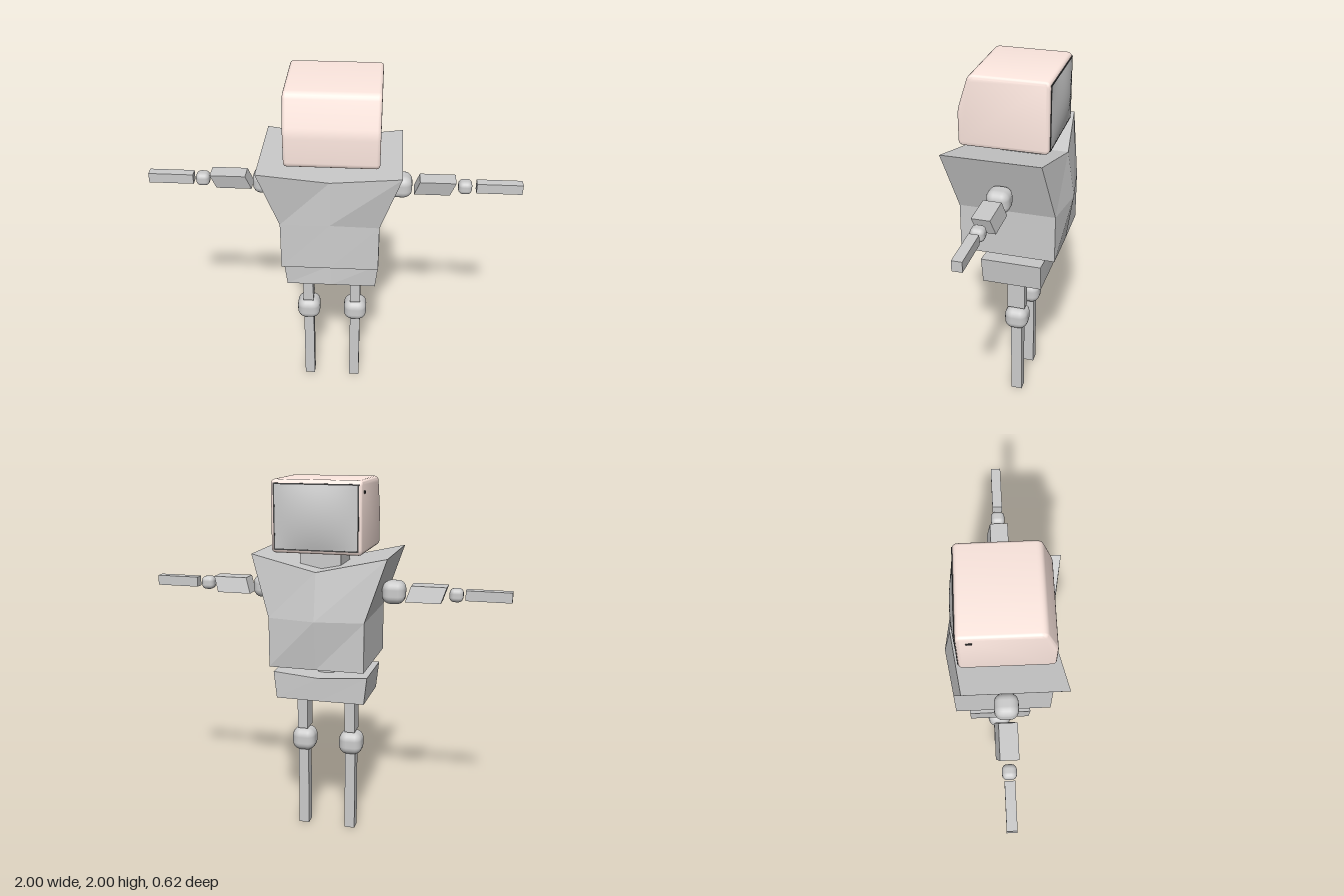
import * as THREE from 'three';
import { toCreasedNormals } from 'three/addons/utils/BufferGeometryUtils.js';
import { RoundedBoxGeometry } from 'three/addons/geometries/RoundedBoxGeometry.js';

const grey = new THREE.MeshStandardMaterial({ color: 0xcccccc });
const greyFlat = new THREE.MeshStandardMaterial({ color: 0xcccccc, flatShading: true });
const casing = new THREE.MeshStandardMaterial({ color: 0xffe9e1 });
const dark = new THREE.MeshStandardMaterial({ color: 0x444444 });

function add(parent, name, geometry, material, x = 0, y = 0, z = 0) {
  const mesh = new THREE.Mesh(geometry, material);
  mesh.name = name;
  mesh.position.set(x, y, z);
  parent.add(mesh);
  return mesh;
}

// Six-point rings, each with a corner and a centre point on front and back
function ring(halfX, yCorner, yCentre, zFront, zFrontMid, zBack, zBackMid) {
  return [
    [halfX, yCorner, zFront], [0, yCentre, zFrontMid], [-halfX, yCorner, zFront],
    [-halfX, yCorner, zBack], [0, yCentre, zBackMid], [halfX, yCorner, zBack],
  ];
}

// Skin stacked rings from bottom to top, with folded caps
function loft(rings) {
  const index = [];
  const quad = (a, b, c, d) => index.push(a, b, c, a, c, d);
  for (let r = 0; r < rings.length - 1; r++) {
    for (let j = 0; j < 6; j++) {
      const k = (j + 1) % 6, a = r * 6, b = a + 6;
      quad(a + k, a + j, b + j, b + k);
    }
  }
  const t = (rings.length - 1) * 6;
  quad(0, 1, 4, 5);
  quad(1, 2, 3, 4);
  quad(t + 5, t + 4, t + 1, t);
  quad(t + 4, t + 3, t + 2, t + 1);
  const g = new THREE.BufferGeometry();
  g.setAttribute('position', new THREE.Float32BufferAttribute(rings.flat(2), 3));
  g.setIndex(index);
  g.computeVertexNormals();
  return g;
}

// Softly rounded cube used for every joint
const joint = (size) => new RoundedBoxGeometry(size, size, size, 3, size * 0.36);

function roundedProfile(points, radius) {
  const shape = new THREE.Shape();
  const p = points.map(([x, y]) => new THREE.Vector2(x, y));
  p.forEach((c, i) => {
    const prev = p[(i + p.length - 1) % p.length], next = p[(i + 1) % p.length];
    const a = c.clone().add(prev.clone().sub(c).setLength(radius));
    const b = c.clone().add(next.clone().sub(c).setLength(radius));
    if (i === 0) shape.moveTo(a.x, a.y); else shape.lineTo(a.x, a.y);
    shape.quadraticCurveTo(c.x, c.y, b.x, b.y);
  });
  shape.closePath();
  return shape;
}

function createHead() {
  const head = new THREE.Group();
  head.name = 'head';

  // Casing: side profile swept across x
  const profile = roundedProfile(
    [[-0.228, 1.62], [0.25, 1.62], [0.25, 1.81], [0.19, 2.0], [-0.228, 2.0]], 0.03);
  const bevel = 0.018;
  const shell = new THREE.ExtrudeGeometry(profile, {
    depth: 0.485 - 2 * bevel, bevelThickness: bevel, bevelSize: bevel,
    bevelOffset: -bevel, bevelSegments: 4, curveSegments: 5,
  });
  shell.translate(0, 0, -0.2425 + bevel);
  shell.rotateY(-Math.PI / 2);
  add(head, 'headCasing', toCreasedNormals(shell, 0.6), casing);

  // Thin bezel around the screen
  const rect = (Type, w, h) => {
    const s = new Type();
    s.moveTo(-w, -h); s.lineTo(w, -h); s.lineTo(w, h); s.lineTo(-w, h); s.closePath();
    return s;
  };
  const frame = rect(THREE.Shape, 0.227, 0.172);
  frame.holes.push(rect(THREE.Path, 0.22, 0.165));
  add(head, 'screenBezel', new THREE.ExtrudeGeometry(frame, { depth: 0.006, bevelEnabled: false }),
    dark, 0, 1.81, -0.231);

  // Domed screen facing backwards
  const screen = new THREE.PlaneGeometry(0.444, 0.334, 16, 16);
  const pos = screen.attributes.position;
  for (let i = 0; i < pos.count; i++) {
    const u = pos.getX(i) / 0.222, v = pos.getY(i) / 0.167;
    pos.setZ(i, 0.025 * (1 - u * u) * (1 - v * v));
  }
  screen.computeVertexNormals();
  screen.rotateY(Math.PI);
  add(head, 'screen', screen, grey, 0, 1.81, -0.23);

  // Small slot on the side
  add(head, 'sideSlot', new THREE.BoxGeometry(0.006, 0.015, 0.03), dark, -0.243, 1.94, -0.165);
  head.position.x = 0.002;
  return head;
}

function createArm(side) {
  const arm = new THREE.Group();
  arm.name = side > 0 ? 'leftArm' : 'rightArm';
  add(arm, 'shoulder', joint(0.125), grey, side * 0.364 - 0.009, 1.4, 0);

  // Upper arm: box sheared outwards and forwards at the top
  const upper = new THREE.BoxGeometry(0.19, 0.085, 0.095);
  const pos = upper.attributes.position;
  for (let i = 0; i < pos.count; i++) {
    const up = Math.sign(pos.getY(i));
    pos.setX(i, pos.getX(i) + side * 0.014 * up);
    pos.setZ(i, pos.getZ(i) + 0.01 * up);
  }
  upper.computeVertexNormals();
  add(arm, 'upperArm', upper, greyFlat, side * 0.545 - 0.007, 1.402, -0.006);

  add(arm, 'elbow', joint(0.073), grey, side * 0.703 - 0.005, 1.4, 0);
  add(arm, 'forearm', new THREE.BoxGeometry(0.242, 0.055, 0.052), greyFlat, side * 0.879, 1.403, 0);
  return arm;
}

function createLeg(side) {
  const leg = new THREE.Group();
  leg.name = side > 0 ? 'leftLeg' : 'rightLeg';
  leg.position.set(side * 0.137 - 0.013, 0, -0.03);
  add(leg, 'thigh', new THREE.BoxGeometry(0.058, 0.215, 0.1), greyFlat, 0, 0.705, 0);
  add(leg, 'knee', joint(0.132), grey, 0, 0.525, 0);
  add(leg, 'shin', new THREE.BoxGeometry(0.058, 0.462, 0.064), greyFlat, 0, 0.231, -0.002);
  return leg;
}

export function createModel() {
  const model = new THREE.Group();
  model.name = 'robot';
  model.add(createHead());

  add(model, 'neck', new THREE.BoxGeometry(0.222, 0.14, 0.205), greyFlat, -0.002, 1.555, -0.048);

  // Torso flares to raised shoulders
  add(model, 'torso', loft([
    ring(0.26, 1.01, 1.01, 0.25, 0.25, -0.27, -0.272),
    ring(0.26, 1.28, 1.28, 0.25, 0.245, -0.27, -0.31),
    ring(0.366, 1.61, 1.535, 0.31, 0.24, -0.22, -0.27),
  ]), greyFlat, -0.008);

  add(model, 'waist', new THREE.BoxGeometry(0.088, 0.1, 0.1), greyFlat, -0.015, 0.965, -0.03);

  add(model, 'pelvis', loft([
    ring(0.246, 0.81, 0.81, 0.135, 0.135, -0.195, -0.198),
    ring(0.262, 0.96, 0.94, 0.14, 0.13, -0.195, -0.2),
  ]), greyFlat, -0.008);

  for (const side of [-1, 1]) model.add(createArm(side), createLeg(side));
  return model;
}
